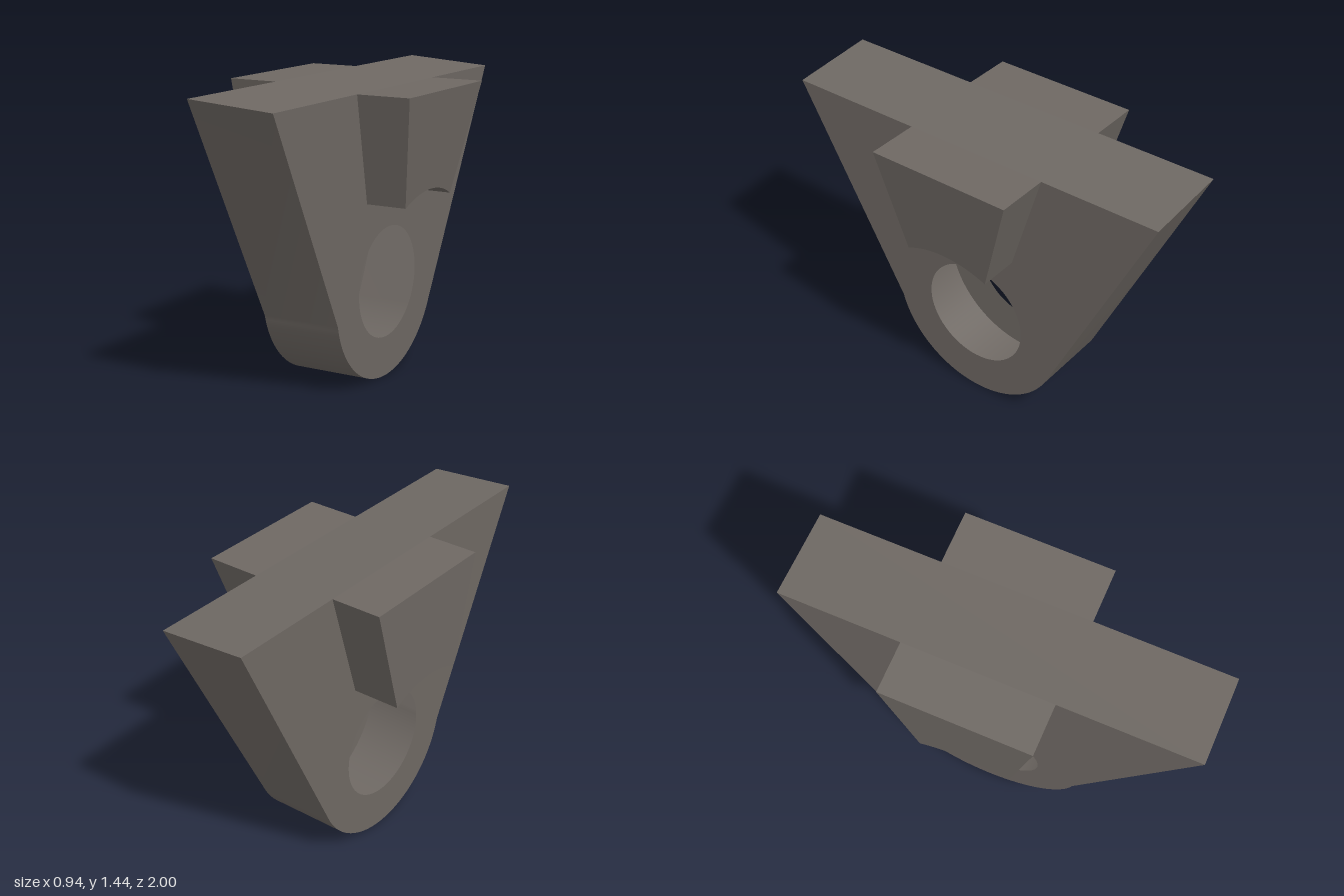
import * as THREE from 'three';
import { toCreasedNormals } from 'three/addons/utils/BufferGeometryUtils.js';

// Hollow sheet bracket: profiles are lists of [z, y], x follows from the height.
const CZ = -0.015, CY = 0.472, R = 0.472, HOLE = 0.273;

const SIDES = [
  { name: 'right', sign: -1, top: 1.44, inner: y => -0.222 - 0.003 * y, outer: y => -0.436 - 0.027 * y },
  { name: 'left', sign: 1, top: 1.41, inner: y => 0.165 + 0.028 * y, outer: y => 0.255 + 0.152 * y },
];

// Points on the round part, from angle a to angle b
function arc(a, b, n) {
  return Array.from({ length: n + 1 }, (_, i) => {
    const t = a + (b - a) * i / n;
    return [CZ + R * Math.cos(t), CY + R * Math.sin(t)];
  });
}

const bodyProfile = top => [[1, top], ...arc(-0.24, -Math.PI + 0.49, 48), [-1, top]];
const lugProfile = top => [[0.322, top], ...arc(1.085, 2.068, 16), [-0.405, top]];

const place = (profile, xAt) => profile.map(([z, y]) => [xAt(y), y, z]);

// Ruled strip between two rails; rail a has the smaller x
function strip(a, b) {
  const g = new THREE.BufferGeometry(), index = [], n = a.length;
  for (let i = 0; i < n - 1; i++) index.push(i, i + 1, n + i, i + 1, n + i + 1, n + i);
  g.setAttribute('position', new THREE.Float32BufferAttribute([...a, ...b].flat(), 3));
  g.setIndex(index);
  return toCreasedNormals(g, 0.6);
}

// Flat panel facing the given side, optionally with the round opening
function panel(profile, xAt, sign, open) {
  const shape = new THREE.Shape(profile.map(p => new THREE.Vector2(...p)));
  if (open) shape.holes.push(new THREE.Path().absarc(CZ, CY, HOLE, 0, Math.PI * 2, true));
  const g = new THREE.ShapeGeometry(shape, 32);
  const p = g.attributes.position;
  for (let i = 0; i < p.count; i++) {
    const z = p.getX(i), y = p.getY(i);
    p.setXYZ(i, xAt(y), y, z);
  }
  if (sign > 0) g.index.array.reverse();
  g.computeVertexNormals();
  return g;
}

export function createModel() {
  const model = new THREE.Group();
  model.name = 'bracket';
  const material = new THREE.MeshStandardMaterial({ color: 0x6e6863, side: THREE.DoubleSide });
  material.name = 'dark warm grey';
  const add = (name, geometry, parent = model) => {
    const mesh = new THREE.Mesh(geometry, material);
    mesh.name = name;
    parent.add(mesh);
  };

  // Main body: wall around the edge and the sloping top
  const [r, l] = SIDES;
  add('bodyWall', strip(place(bodyProfile(r.top), r.inner), place(bodyProfile(l.top), l.inner)));
  add('bodyTop', strip(
    place([[-1, r.top], [1, r.top]], r.inner),
    place([[-1, l.top], [1, l.top]], l.inner)));

  for (const s of SIDES) {
    const lug = lugProfile(s.top), ends = [lug[lug.length - 1], lug[0]];

    // Side cheek, notched where the lug opens into it
    add(s.name + 'Cheek', panel([...bodyProfile(s.top), ...[...lug].reverse()], s.inner, s.sign, true));

    // Side lug: wall, top and outer face
    const group = new THREE.Group();
    group.name = s.name + 'Lug';
    model.add(group);
    const rails = p => {
      const pair = [place(p, s.inner), place(p, s.outer)];
      return s.sign > 0 ? pair : pair.reverse();
    };
    add('lugWall', strip(...rails(lug)), group);
    add('lugTop', strip(...rails(ends)), group);
    add('lugFace', panel(lug, s.outer, s.sign, false), group);
  }
  return model;
}
